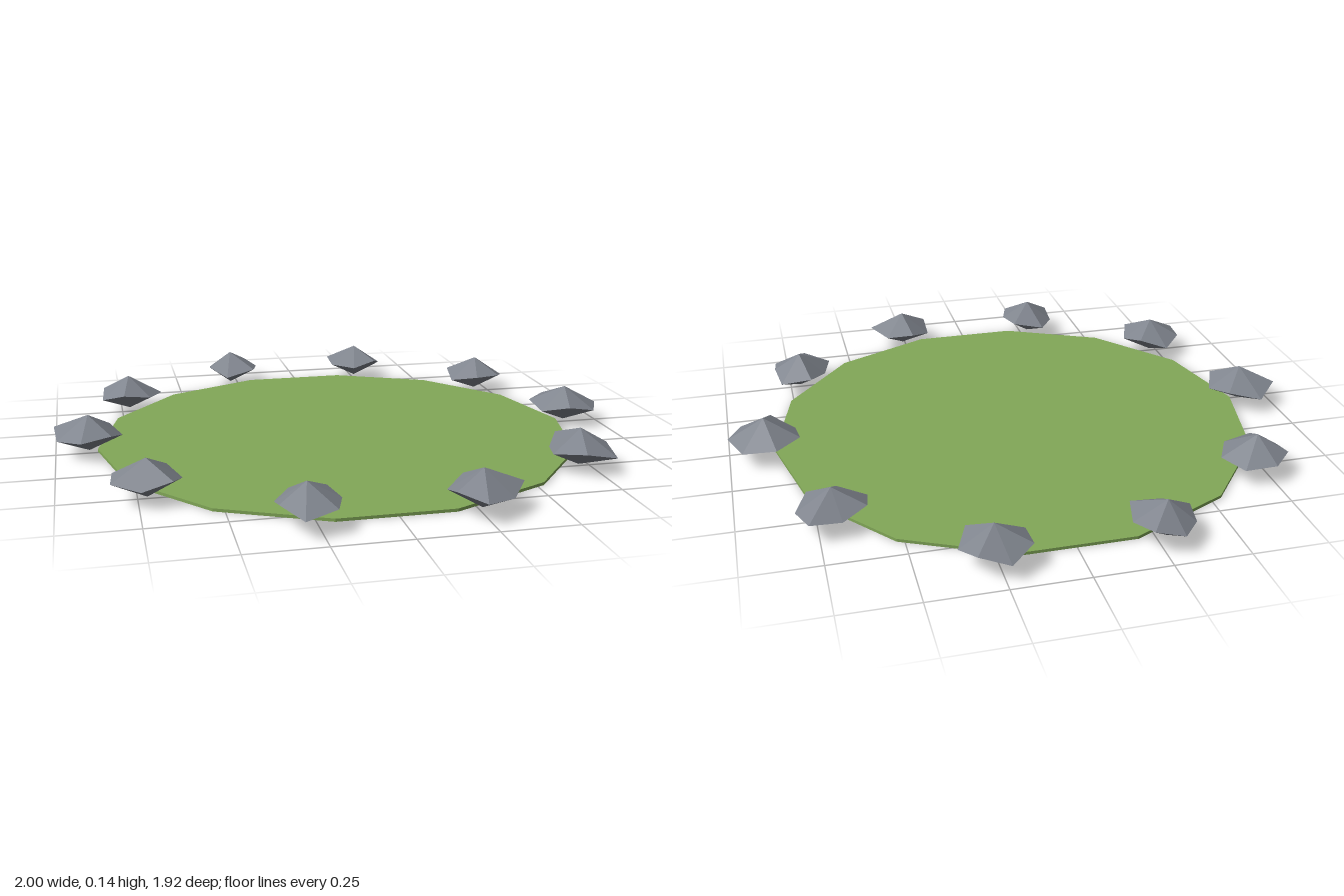
import * as THREE from 'three';

const grass = new THREE.MeshStandardMaterial({ color: 0x82a858, flatShading: true });
grass.name = 'grass green';
const stone = new THREE.MeshStandardMaterial({ color: 0x7f848d, flatShading: true });
stone.name = 'stone grey';

const SIDES = 7, TOP = 0.135, MID = 0.07, BOTTOM = 0.008;

// Each stone: centre x, centre z, then the radius of its seven corners from +x towards +z
const STONES = [
  [-0.28, -0.85, [0.11, 0.135, 0.135, 0.10, 0.09, 0.105, 0.115]],
  [0.26, -0.85, [0.11, 0.11, 0.11, 0.12, 0.12, 0.12, 0.11]],
  [0.70, -0.53, [0.115, 0.115, 0.11, 0.13, 0.115, 0.10, 0.13]],
  [0.875, -0.01, [0.125, 0.125, 0.125, 0.12, 0.13, 0.145, 0.13]],
  [0.71, 0.505, [0.095, 0.14, 0.13, 0.13, 0.10, 0.14, 0.125]],
  [0.26, 0.82, [0.13, 0.11, 0.14, 0.11, 0.11, 0.12, 0.12]],
  [-0.28, 0.82, [0.105, 0.12, 0.13, 0.10, 0.10, 0.14, 0.13]],
  [-0.72, 0.505, [0.11, 0.12, 0.105, 0.125, 0.115, 0.13, 0.11]],
  [-0.885, -0.01, [0.115, 0.12, 0.13, 0.12, 0.13, 0.145, 0.12]],
  [-0.72, -0.53, [0.125, 0.12, 0.11, 0.115, 0.105, 0.115, 0.13]],
];

// Faceted double pyramid with an uneven rim
function stoneGeometry(radii, index) {
  const rim = radii.map((r, k) => {
    const a = (k / SIDES) * Math.PI * 2;
    const y = MID + 0.014 * Math.sin(index * 5.3 + k * 2.4);
    return [r * Math.cos(a), y, r * Math.sin(a)];
  });
  const points = [];
  rim.forEach((p, k) => {
    const q = rim[(k + 1) % SIDES];
    points.push(0, TOP, 0, ...q, ...p);
    points.push(0, BOTTOM, 0, ...p, ...q);
  });
  const geometry = new THREE.BufferGeometry();
  geometry.setAttribute('position', new THREE.Float32BufferAttribute(points, 3));
  geometry.computeVertexNormals();
  return geometry;
}

export function createModel() {
  const model = new THREE.Group();
  model.name = 'stoneRingedLawn';

  // Thin fourteen-sided lawn, with corners on the x axis
  const lawn = new THREE.Mesh(
    new THREE.CylinderGeometry(0.851, 0.851, 0.01, 14, 1, false, Math.PI / 2), grass);
  lawn.name = 'lawn';
  lawn.position.set(-0.006, 0.005, -0.01);
  model.add(lawn);

  // Ring of border stones
  const ring = new THREE.Group();
  ring.name = 'borderStones';
  STONES.forEach(([x, z, radii], i) => {
    const mesh = new THREE.Mesh(stoneGeometry(radii, i), stone);
    mesh.name = `borderStone${i + 1}`;
    mesh.position.set(x, 0, z);
    ring.add(mesh);
  });
  model.add(ring);
  return model;
}
